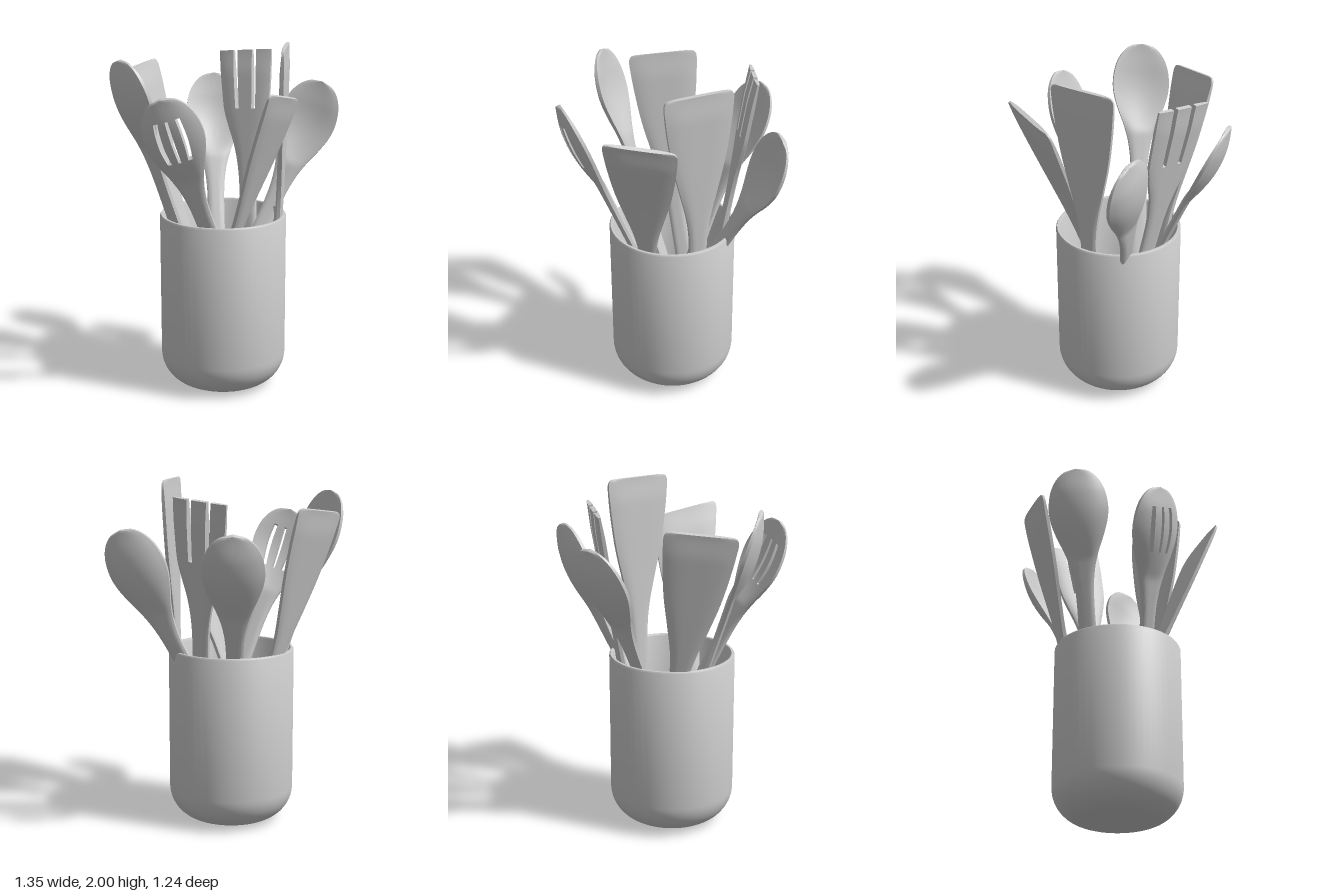
import * as THREE from 'three';
import { toCreasedNormals } from 'three/addons/utils/BufferGeometryUtils.js';

const material = new THREE.MeshStandardMaterial({ color: 0xcccccc });

// Outlines from tip to neck: [half width, distance from tip]
const SPOON = [[0.01, 0], [0.07, 0.015], [0.12, 0.06], [0.155, 0.13], [0.17, 0.22], [0.163, 0.3],
  [0.135, 0.39], [0.095, 0.49], [0.065, 0.6], [0.05, 0.75]];
const TURNER = [[0.165, 0], [0.188, 0.008], [0.2, 0.035], [0.196, 0.1], [0.183, 0.22], [0.155, 0.4],
  [0.113, 0.58], [0.075, 0.74], [0.055, 0.88]];
const FORK = [[0.17, 0], [0.166, 0.1], [0.158, 0.22], [0.146, 0.35], [0.12, 0.45], [0.085, 0.56],
  [0.062, 0.68], [0.052, 0.82]];

// Openings, tested at the middle of a grid cell (u across -1..1, q from the tip)
const spoonSlots = (u, q) => q > 0.12 && q < 0.38 && (Math.abs(u) < 0.06 || Math.abs(Math.abs(u) - 0.42) < 0.06);
const forkGaps = (u, q) => q < 0.34 && Math.abs(Math.abs(u) - 0.361) < 0.06;

// A flat or cupped blade with its handle, swept along a curve as a thick grid of cells
function utensil({ name, path, across, outline, cup = 0, cols = 16, open = () => false }) {
  const spine = new THREE.CatmullRomCurve3(path.map((p) => new THREE.Vector3(...p)));
  const length = spine.getLength();
  const along = spine.getPoint(1).sub(spine.getPoint(0.5)).normalize();
  const W = new THREE.Vector3(...across).normalize();
  const N = W.clone().cross(along).normalize();
  if (N.y < 0) { W.negate(); N.negate(); } // hollow side looks up

  const profile = [...outline, [0.05, 1.05], [0.05, 1.4], [0.047, length]];
  const rows = new THREE.SplineCurve(profile.map((p) => new THREE.Vector2(...p))).getPoints((profile.length - 1) * 5);

  const point = (i, j, side) => {
    const u = (2 * j) / cols - 1;
    const hw = rows[i].x;
    const q = THREE.MathUtils.clamp(rows[i].y, 0, length);
    const thick = 0.021 * (1 - 0.55 * u ** 4) * (0.6 + 0.4 * THREE.MathUtils.smoothstep(q, 0, 0.15));
    const hollow = q < 0.52 ? cup * Math.sin((Math.PI * q) / 0.52) * (1 - u * u) : 0;
    return spine.getPointAt(1 - q / length).addScaledVector(W, u * hw).addScaledVector(N, side * thick - hollow);
  };
  const top = rows.map((_, i) => Array.from({ length: cols + 1 }, (_, j) => point(i, j, 1)));
  const bottom = rows.map((_, i) => Array.from({ length: cols + 1 }, (_, j) => point(i, j, -1)));

  const solid = (i, j) => i >= 0 && j >= 0 && i < rows.length - 1 && j < cols
    && !open((2 * j + 1) / cols - 1, (rows[i].y + rows[i + 1].y) / 2);
  const verts = [];
  const quad = (a, b, c, d) => [a, b, c, a, c, d].forEach((p) => verts.push(p.x, p.y, p.z));

  for (let i = 0; i < rows.length - 1; i++) {
    for (let j = 0; j < cols; j++) {
      if (!solid(i, j)) continue;
      const ring = [[i + 1, j], [i + 1, j + 1], [i, j + 1], [i, j]];
      const t = ring.map(([r, c]) => top[r][c]);
      const b = ring.map(([r, c]) => bottom[r][c]);
      quad(...t);
      quad(b[3], b[2], b[1], b[0]);
      // side walls wherever the neighbouring cell is missing
      [[i + 1, j], [i, j + 1], [i - 1, j], [i, j - 1]].forEach(([r, c], k) => {
        const n = (k + 1) % 4;
        if (!solid(r, c)) quad(b[k], b[n], t[n], t[k]);
      });
    }
  }
  const geometry = new THREE.BufferGeometry();
  geometry.setAttribute('position', new THREE.Float32BufferAttribute(verts, 3));
  const mesh = new THREE.Mesh(toCreasedNormals(geometry, 0.7), material);
  mesh.name = name;
  return mesh;
}

// Hollow pot with a rounded base and thin rim
function crock() {
  const p = new THREE.Path();
  p.moveTo(0, 0);
  p.lineTo(0.17, 0);
  p.absarc(0.17, 0.195, 0.195, -Math.PI / 2, 0, false);
  p.lineTo(0.365, 1.02);
  p.lineTo(0.359, 1.03);
  p.lineTo(0.346, 1.03);
  p.lineTo(0.34, 1.02);
  p.lineTo(0.34, 0.21);
  p.absarc(0.17, 0.21, 0.17, 0, -Math.PI / 2, true);
  p.lineTo(0, 0.04);
  const mesh = new THREE.Mesh(toCreasedNormals(new THREE.LatheGeometry(p.getPoints(8), 56), 0.6), material);
  mesh.position.set(-0.035, 0, 0.025);
  mesh.name = 'crock';
  return mesh;
}

export function createModel() {
  const group = new THREE.Group();
  group.name = 'utensilCrock';
  group.add(crock());

  // path: handle end, crossing at the rim, tip
  const utensils = [
    { name: 'backSpoon', outline: SPOON, cup: 0.045, across: [1, 0, 0.05],
      path: [[-0.07, 0.1, 0.1], [-0.03, 1.03, -0.28], [0.01, 1.75, -0.61]] },
    { name: 'leftSpoon', outline: SPOON, cup: 0.045, across: [0.87, -0.33, 0.36],
      path: [[-0.23, 0.12, 0.14], [0.28, 1.03, -0.12], [0.6, 1.74, -0.22]] },
    { name: 'rightSpoon', outline: SPOON, cup: 0.045, across: [0.47, 0.13, 0.85],
      path: [[-0.02, 0.1, -0.11], [-0.33, 1.03, -0.01], [-0.62, 1.93, 0.06]] },
    { name: 'slottedSpoon', outline: SPOON, cup: 0.04, across: [0.9, 0.3, 0.35], cols: 36, open: spoonSlots,
      path: [[0.21, 0.1, 0.04], [-0.17, 1.03, 0.28], [-0.44, 1.78, 0.5]] },
    { name: 'fork', outline: FORK, across: [0.28, 0.03, 0.2], cols: 36, open: forkGaps,
      path: [[0.14, 0.06, 0.02], [0.155, 1.03, -0.21], [0.17, 1.915, -0.4]] },
    { name: 'frontTurner', outline: TURNER, across: [0.22, -0.08, -0.32],
      path: [[-0.23, 0.1, 0.02], [0.02, 1.03, 0.26], [0.23, 1.77, 0.46]] },
    { name: 'tallTurner', outline: TURNER, across: [-0.11, 0, 0.38],
      path: [[0.22, 0.12, 0.09], [0.28, 1.03, 0.1], [0.305, 2, 0.12]] },
    { name: 'backTurner', outline: TURNER, across: [0.26, 0.05, -0.28],
      path: [[0.04, 0.1, -0.13], [-0.28, 1.03, -0.2], [-0.5, 1.85, -0.29]] },
  ];
  utensils.forEach((u) => group.add(utensil(u)));
  return group;
}
